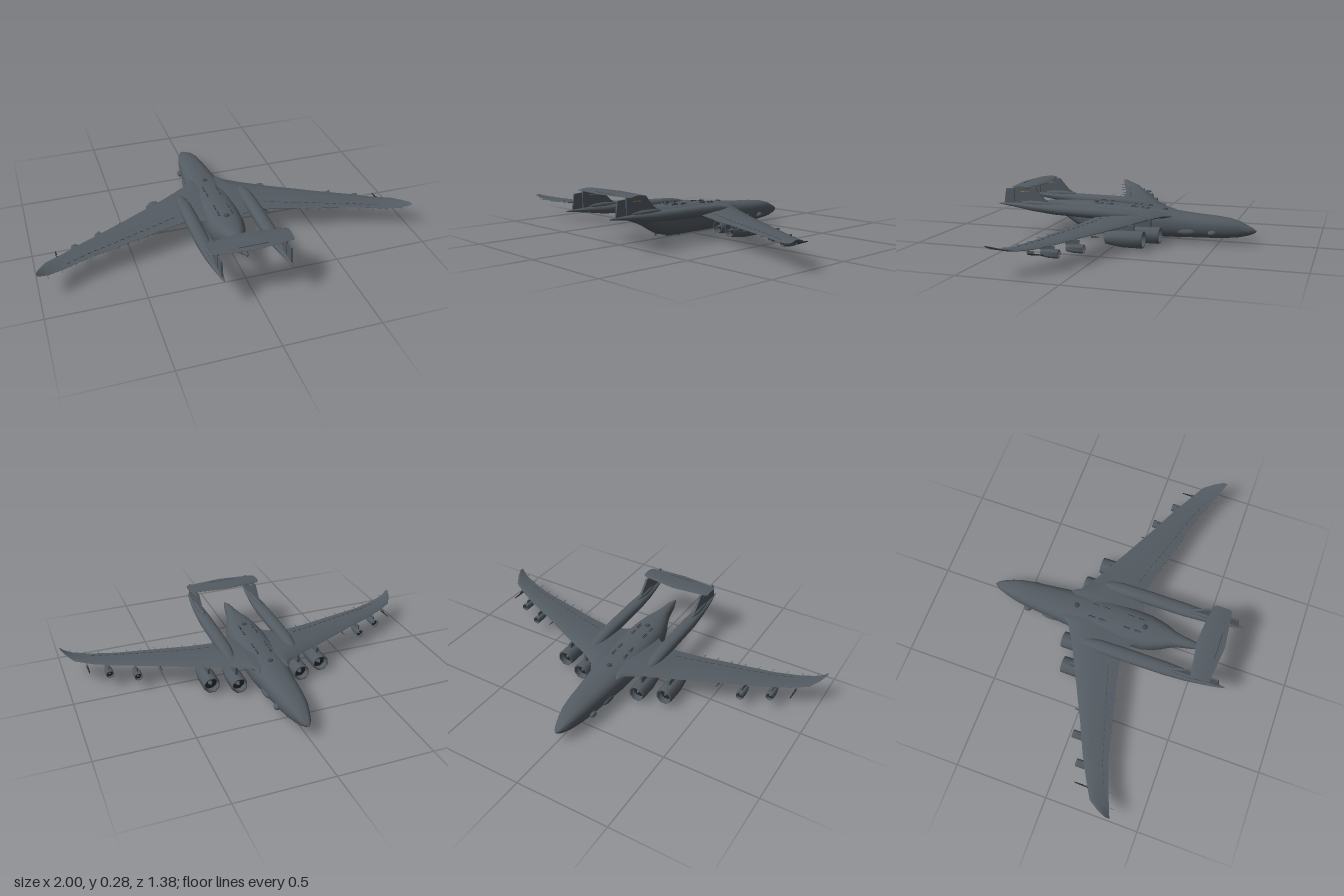
import * as THREE from 'three';
import { toCreasedNormals } from 'three/addons/utils/BufferGeometryUtils.js';

const paint = (name, color) => {
  const m = new THREE.MeshStandardMaterial({ color });
  m.name = name;
  return m;
};

// Skin a closed body through rings of equal length; flips itself to face outward.
function loft(rings, crease = 0.7) {
  const n = rings[0].length, tris = [];
  const tri = (a, b, c) => tris.push([a, b, c]);
  for (let i = 0; i < rings.length - 1; i++) {
    for (let j = 0; j < n; j++) {
      const k = (j + 1) % n, A = rings[i], B = rings[i + 1];
      tri(A[j], A[k], B[k]);
      tri(A[j], B[k], B[j]);
    }
  }
  const first = rings[0], last = rings[rings.length - 1];
  for (let j = 1; j < n - 1; j++) {
    tri(first[0], first[j + 1], first[j]);
    tri(last[0], last[j], last[j + 1]);
  }
  const volume = tris.reduce((s, [a, b, c]) => s + a.dot(b.clone().cross(c)), 0);
  const pos = [];
  for (const [a, b, c] of tris) {
    for (const v of volume < 0 ? [a, c, b] : [a, b, c]) pos.push(v.x, v.y, v.z);
  }
  const geo = new THREE.BufferGeometry();
  geo.setAttribute('position', new THREE.Float32BufferAttribute(pos, 3));
  return toCreasedNormals(geo, crease);
}

// Rounded body ring at z, from half width, bottom and top
function hullRing(x, z, hw, bottom, top, p = 0.8, n = 24) {
  const soft = v => Math.sign(v) * Math.abs(v) ** p;
  return Array.from({ length: n }, (_, i) => {
    const a = (i / n) * Math.PI * 2;
    return new THREE.Vector3(x + hw * soft(Math.cos(a)),
      (top + bottom) / 2 + ((top - bottom) / 2) * soft(Math.sin(a)), z);
  });
}

// Aerofoil ring at x
const foil = [[0, 0], [0.06, 0.55], [0.3, 1], [0.65, 0.7], [1, 0.06],
  [1, -0.06], [0.65, -0.5], [0.3, -0.8], [0.06, -0.5]];
const foilRing = (x, le, te, y, t) =>
  foil.map(([c, h]) => new THREE.Vector3(x, y + h * t / 2, le + c * (te - le)));

// x, leading edge z, trailing edge z, height, thickness
const wingPlan = [
  [0, -0.22, 0.2, 0.134, 0.045], [0.08, -0.26, 0.18, 0.134, 0.045], [0.105, -0.215, 0.15, 0.136, 0.044],
  [0.2, -0.155, 0.12, 0.132, 0.036], [0.34, -0.085, 0.15, 0.124, 0.028], [0.6, 0.045, 0.215, 0.116, 0.021],
  [0.74, 0.11, 0.25, 0.112, 0.017], [0.86, 0.175, 0.295, 0.11, 0.014], [0.945, 0.225, 0.328, 0.118, 0.011],
  [0.98, 0.28, 0.342, 0.131, 0.007], [1, 0.325, 0.352, 0.144, 0.003],
];

// Interpolated wing values at a span position
function wingAt(x) {
  const i = Math.max(1, wingPlan.findIndex(s => s[0] >= x));
  const a = wingPlan[i - 1], b = wingPlan[i], t = (x - a[0]) / (b[0] - a[0]);
  return a.map((v, k) => v + (b[k] - v) * t);
}

export function createModel() {
  const model = new THREE.Group();
  model.name = 'transportAircraft';
  const grey = paint('slateGrey', 0x535b62);
  const dark = paint('darkGrey', 0x25292d);
  const panel = paint('panelGrey', 0x3f464c);
  const gold = paint('ochre', 0x94803a);

  const add = (name, geo, mat, x = 0, y = 0, z = 0, parent = model) => {
    const m = new THREE.Mesh(geo, mat);
    m.name = name;
    m.position.set(x, y, z);
    parent.add(m);
    return m;
  };
  const box = (name, w, h, d, mat, x, y, z) => add(name, new THREE.BoxGeometry(w, h, d), mat, x, y, z);
  const pod = (name, rx, ry, rz, mat, x, y, z) =>
    add(name, new THREE.SphereGeometry(1, 16, 12).scale(rx, ry, rz), mat, x, y, z);
  const rod = (name, r, len, mat, x, y, z) =>
    add(name, new THREE.CylinderGeometry(r * 0.5, r, len, 8).rotateX(-Math.PI / 2), mat, x, y, z);

  // Fuselage: z, half width, bottom, top
  const hull = [
    [-0.69, 0.002, 0.063, 0.067], [-0.675, 0.016, 0.052, 0.078], [-0.65, 0.029, 0.042, 0.09],
    [-0.6, 0.046, 0.03, 0.113], [-0.55, 0.06, 0.025, 0.126], [-0.48, 0.071, 0.02, 0.134],
    [-0.38, 0.081, 0.017, 0.14], [-0.28, 0.092, 0.013, 0.149], [-0.2, 0.102, 0.012, 0.157],
    [-0.05, 0.104, 0.012, 0.167], [0.08, 0.102, 0.012, 0.174], [0.2, 0.096, 0.014, 0.177],
    [0.25, 0.085, 0.025, 0.177], [0.3, 0.069, 0.052, 0.177], [0.35, 0.045, 0.08, 0.176],
    [0.4, 0.031, 0.1, 0.175], [0.47, 0.02, 0.127, 0.17], [0.52, 0.003, 0.148, 0.16],
  ];
  add('fuselage', loft(hull.map(([z, w, b, t]) => hullRing(0, z, w, b, t))), grey);

  // Swept wing in one piece, tip to tip
  const span = [...wingPlan.slice(1).reverse().map(([x, ...r]) => [-x, ...r]), ...wingPlan];
  add('wing', loft(span.map(s => foilRing(...s))), grey);

  // Tailplane bridging the fins
  const tail = [[-0.21, 0.515, 0.59], [-0.2, 0.5, 0.602], [0, 0.475, 0.624], [0.2, 0.5, 0.602], [0.21, 0.515, 0.59]];
  add('tailplane', loft(tail.map(([x, a, b]) => foilRing(x, a, b, 0.267, 0.016))), grey);
  box('tailplaneSlot', 0.15, 0.002, 0.005, panel, 0, 0.2705, 0.59);

  // Eight-sided jet engine sized by radius and length, intake towards -z
  const engine = (name, r, len, x, y, front) => {
    const g = new THREE.Group();
    g.name = name;
    g.position.set(x, y, front);
    model.add(g);
    const wide = r / Math.cos(Math.PI / 8);
    const turn = (pts, mat, part) => add(part, toCreasedNormals(
      new THREE.LatheGeometry(pts.map(([a, b]) => new THREE.Vector2(a * wide, b * len)), 8, Math.PI / 8)
        .rotateX(-Math.PI / 2).toNonIndexed(), 0.85), mat, 0, 0, 0, g);
    turn([[0.6, -0.72], [0.66, -0.9], [0.72, -0.9], [0.92, -0.62], [1, -0.5], [1, -0.06],
      [0.96, 0], [0.86, 0], [0.8, -0.15]], grey, 'nacelle');
    turn([[0.8, -0.15], [0.3, -0.15]], dark, 'fan');
    turn([[0.3, -0.15], [0, -0.04]], grey, 'spinner');
    turn([[0.3, -0.74], [0.62, -0.74]], dark, 'exhaust');
    turn([[0, -0.98], [0.35, -0.74]], grey, 'exhaustCone');
  };

  for (const s of [-1, 1]) {
    const side = s > 0 ? 'left' : 'right';

    // Tail boom: z, half width, bottom, top
    const boom = [
      [-0.1, 0.012, 0.138, 0.15], [-0.06, 0.027, 0.122, 0.163], [0.0, 0.035, 0.118, 0.174],
      [0.12, 0.037, 0.118, 0.18], [0.36, 0.037, 0.126, 0.182], [0.48, 0.031, 0.138, 0.181],
      [0.57, 0.022, 0.152, 0.18], [0.64, 0.012, 0.162, 0.177], [0.69, 0.002, 0.168, 0.172],
    ];
    add(side + 'Boom', loft(boom.map(([z, w, b, t]) => hullRing(s * 0.175, z, w, b, t, 0.9, 16))), grey);

    // Fin and rudder drawn in the z-y plane
    const slab = (name, pts, t) => {
      const geo = new THREE.ExtrudeGeometry(new THREE.Shape(pts.map(p => new THREE.Vector2(...p))),
        { depth: t, bevelEnabled: false });
      add(name, geo.translate(0, 0, -t / 2).rotateY(-Math.PI / 2), grey, s * 0.175, 0, 0);
    };
    slab(side + 'Fin', [[0.37, 0.17], [0.594, 0.165], [0.594, 0.265], [0.475, 0.265], [0.455, 0.24],
      [0.425, 0.208], [0.4, 0.191], [0.37, 0.181]], 0.012);
    slab(side + 'Rudder', [[0.598, 0.17], [0.657, 0.175], [0.645, 0.254], [0.598, 0.257]], 0.009);
    pod(side + 'FinFillet', 0.018, 0.016, 0.1, grey, s * 0.175, 0.18, 0.47);
    box(side + 'FinStripe', 0.014, 0.004, 0.05, gold, s * 0.175, 0.242, 0.533);

    // Four big engines inboard, four small ones outboard, each on a pylon
    for (const [name, x, y, r, len, front] of [
      ['InnerEngine', 0.175, 0.05, 0.041, 0.22, -0.22], ['MiddleEngine', 0.31, 0.054, 0.042, 0.22, -0.17],
      ['OuterEngine', 0.65, 0.073, 0.02, 0.095, 0.02], ['TipEngine', 0.785, 0.077, 0.02, 0.095, 0.09],
    ]) {
      engine(side + name, r, len, s * x, y, front);
      const wy = wingAt(x)[3], low = y + r * 0.8;
      box(side + name + 'Pylon', r * 0.3, wy - low, len * 0.75, grey, s * x, (wy + low) / 2, front + len * 0.6);
    }

    // Slim underwing stores and probes
    rod(side + 'Store', 0.005, 0.075, dark, s * 0.885, 0.093, 0.158);
    box(side + 'StorePylon', 0.004, 0.016, 0.03, grey, s * 0.885, 0.1, 0.185);
    rod(side + 'Probe', 0.004, 0.04, panel, s * 0.53, 0.106, 0.008);
    for (const x of [0.42, 0.47, 0.53, 0.58]) {
      const [, , te, y] = wingAt(x);
      pod(side + 'FlapFairing', 0.007, 0.009, 0.04, grey, s * x, y - 0.008, te - 0.035);
    }

    // Trailing edge wicks and flap hinge line
    for (let x = 0.3; x < 0.96; x += 0.072) {
      const [, , te, y] = wingAt(x);
      box(side + 'Wick', 0.002, 0.002, 0.03, grey, s * x, y, te + 0.008);
    }
    for (let x = 0.26; x < 0.84; x += 0.036) {
      const [, le, te, y, t] = wingAt(x);
      const mark = box(side + 'FlapLine', 0.022, 0.002, 0.0025, panel, s * x, y + t * 0.275, le + (te - le) * 0.78);
      mark.rotation.y = -s * 0.25;
    }

    // Cheek sensors and side fairings
    pod(side + 'CheekSensor', 0.016, 0.015, 0.022, grey, s * 0.073, 0.055, -0.47);
    pod(side + 'SideFairing', 0.012, 0.017, 0.052, grey, s * 0.08, 0.056, -0.33);

    // Deck hatches
    for (const z of [-0.1, -0.04, 0.1, 0.16]) {
      const y = 0.163 + (z + 0.1) * 0.05;
      box(side + 'DeckHatch', 0.012, 0.008, 0.04, grey, s * 0.036, y, z);
      box(side + 'DeckVent', 0.003, 0.002, 0.036, dark, s * 0.036, y + 0.004, z);
    }
  }

  // Spine domes and belly aerials
  for (const [z, y] of [[-0.2, 0.156], [0.19, 0.176]]) pod('spineDome', 0.015, 0.008, 0.015, panel, 0, y, z);
  for (const [z, y] of [[-0.28, 0.01], [0.1, 0.01], [0.26, 0.027]]) box('bellyAerial', 0.004, 0.02, 0.012, grey, 0, y, z);
  box('bellyKeel', 0.03, 0.008, 0.36, grey, 0, 0.012, 0.02);

  return model;
}
